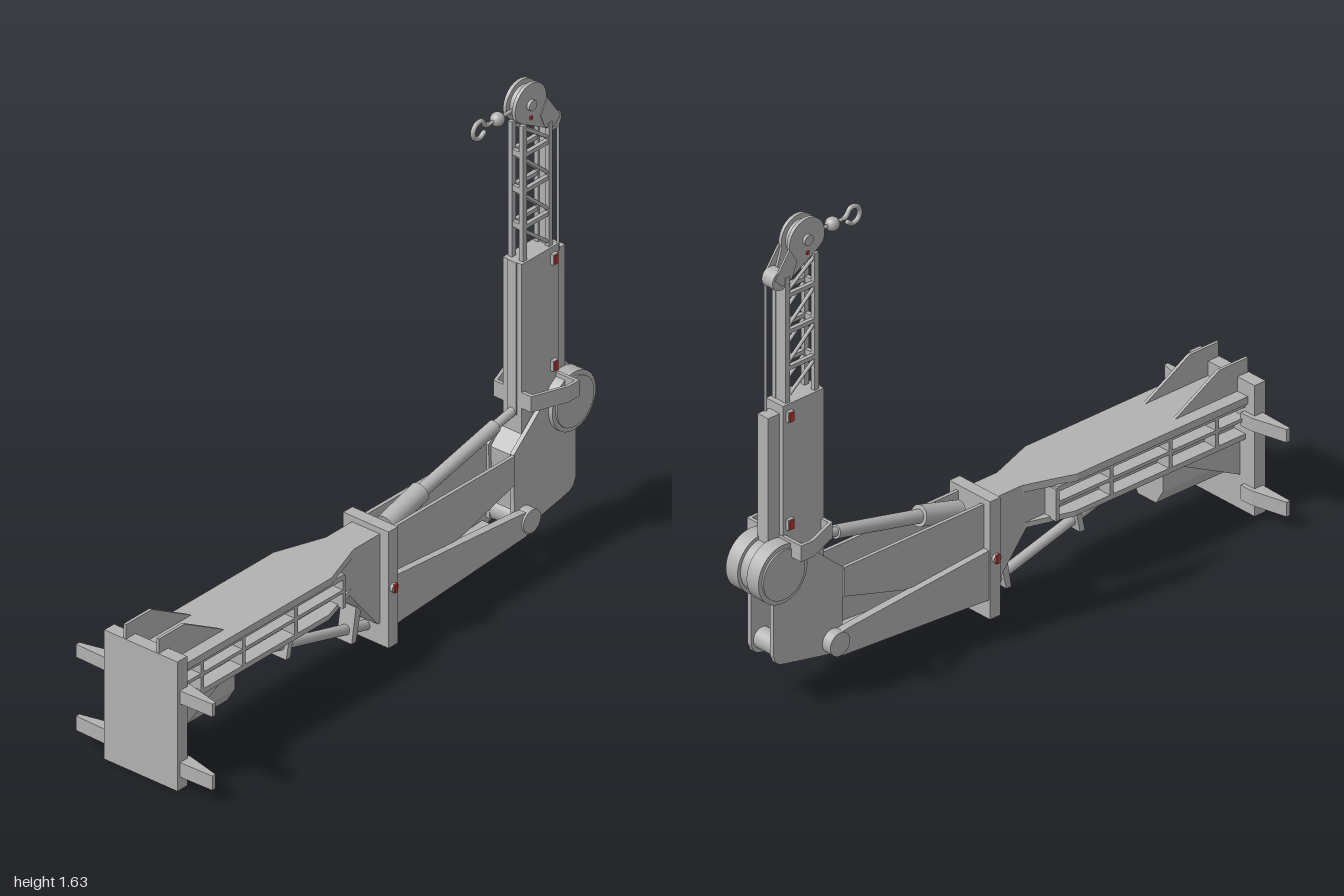
import * as THREE from 'three';

export function createModel() {
  const root = new THREE.Group();
  const steel = new THREE.MeshStandardMaterial({ color: 0xb2b2b2 });
  steel.name = 'steel grey';
  const red = new THREE.MeshStandardMaterial({ color: 0xc8322d });
  red.name = 'marker red';

  function add(name, geo, mat = steel) {
    const m = new THREE.Mesh(geo, mat);
    m.name = name;
    root.add(m);
    return m;
  }
  // Box given by its limits on each axis
  function box(name, x0, x1, y0, y1, z0, z1, mat) {
    const g = new THREE.BoxGeometry(x1 - x0, y1 - y0, z1 - z0);
    g.translate((x0 + x1) / 2, (y0 + y1) / 2, (z0 + z1) / 2);
    return add(name, g, mat);
  }
  // Side profile [z, y] extruded from x0 to x1
  function side(name, pts, x0, x1) {
    const s = new THREE.Shape(pts.map(([z, y]) => new THREE.Vector2(-z, y)));
    const g = new THREE.ExtrudeGeometry(s, { depth: x1 - x0, bevelEnabled: false });
    g.rotateY(Math.PI / 2).translate(x0, 0, 0);
    return add(name, g);
  }
  // The same profile on the left and the right
  function sides(name, pts, x0, x1) {
    side(name, pts, x0, x1);
    side(name, pts, -x1, -x0);
  }
  // Plan outline [x, z] extruded from y0 to y1
  function plan(name, pts, y0, y1) {
    const s = new THREE.Shape(pts.map(([x, z]) => new THREE.Vector2(x, -z)));
    const g = new THREE.ExtrudeGeometry(s, { depth: y1 - y0, bevelEnabled: false });
    g.rotateX(-Math.PI / 2).translate(0, y0, 0);
    return add(name, g);
  }
  // Round bar between two points
  function rod(name, a, b, r, seg = 16) {
    const A = new THREE.Vector3(...a), B = new THREE.Vector3(...b), d = B.clone().sub(A);
    const m = add(name, new THREE.CylinderGeometry(r, r, d.length(), seg));
    m.position.copy(A).add(B).multiplyScalar(0.5);
    m.quaternion.setFromUnitVectors(new THREE.Vector3(0, 1, 0), d.normalize());
    return m;
  }
  const axle = (name, x0, x1, y, z, r, seg = 32) => rod(name, [x0, y, z], [x1, y, z], r, seg);

  // Mounting plate with clamping wings
  box('mountingPlate', -0.145, 0.145, 0, 0.45, 0.955, 1);
  for (const s of [-1, 1])
    for (const [y0, y1] of [[0.045, 0.095], [0.3, 0.345]])
      plan('clampWing', [[s * 0.1, 0.99], [s * 0.27, 0.985], [s * 0.27, 0.97], [s * 0.145, 0.94], [s * 0.1, 0.94]], y0, y1);
  sides('topGusset', [[0.998, 0.4], [0.998, 0.5], [0.88, 0.5], [0.7, 0.4]], 0.06, 0.07);
  sides('lowerGusset', [[0.96, 0.25], [0.71, 0.25], [0.71, 0.24], [0.96, 0.115]], 0.07, 0.08);

  // Front beam: tapered top plate, box web and side channels
  plan('beamTopPlate', [[-0.115, 0.955], [-0.115, 0.26], [-0.055, 0.09], [-0.055, -0.04],
    [0.055, -0.04], [0.055, 0.09], [0.115, 0.26], [0.115, 0.955]], 0.375, 0.4);
  side('beamWeb', [[0.96, 0.38], [0.96, 0.25], [0.11, 0.25], [-0.02, 0.09], [-0.05, 0.09], [-0.05, 0.38]], -0.055, 0.055);
  for (const s of [-1, 1]) {
    const lo = s > 0 ? 0.05 : -0.105, hi = lo + 0.055;
    plan('lowerFlange', [[s * 0.05, 0.96], [s * 0.105, 0.96], [s * 0.105, 0.26], [s * 0.055, 0.1], [s * 0.05, 0.1]], 0.25, 0.268);
    box('middleRail', lo, hi, 0.314, 0.326, 0.19, 0.955);
    box('upperRail', lo, hi, 0.36, 0.378, 0.19, 0.955);
    for (const z of [0.84, 0.65, 0.41, 0.19])
      box('stiffener', lo, hi, 0.26, 0.37, z - 0.007, z + 0.007);
  }

  // Underside housing, tie tube and its hangers
  const housing = new THREE.Shape([[-0.07, 0.25], [-0.07, 0.17], [-0.04, 0.12], [0.04, 0.12], [0.07, 0.17], [0.07, 0.25]]
    .map(p => new THREE.Vector2(...p)));
  add('undersideHousing', new THREE.ExtrudeGeometry(housing, { depth: 0.305, bevelEnabled: false }).translate(0, 0, 0.65));
  rod('tieTube', [0, 0.24, 0.63], [0, 0.06, -0.04], 0.017);
  side('tieHanger', [[0.345, 0.25], [0.325, 0.25], [0.35, 0.13], [0.37, 0.13]], -0.03, 0.03);
  side('tieHanger', [[0.05, 0.17], [0.025, 0.16], [0.05, 0.05], [0.07, 0.05]], -0.03, 0.03);

  // Collar joining front beam and rear arm
  box('collar', -0.09, 0.09, 0.015, 0.42, -0.072, -0.03);
  for (const s of [-1, 1]) {
    axle('collarPin', s * 0.08, s * 0.1, 0.22, -0.05, 0.015, 16);
    box('collarMarker', s * 0.1 - 0.004, s * 0.1 + 0.004, 0.205, 0.235, -0.057, -0.043, red);
  }

  // Rear arm: open channel with deep outer side plates
  sides('armUpperPlate', [[-0.07, 0.4], [-0.07, 0.2], [-0.4, 0.23], [-0.64, 0.3], [-0.64, 0.4]], 0.05, 0.062);
  sides('armLowerPlate', [[-0.07, 0.25], [-0.07, 0.08], [-0.66, 0.117], [-0.7, 0.13], [-0.715, 0.165], [-0.7, 0.195], [-0.635, 0.205]], 0.058, 0.085);
  side('armFloor', [[-0.07, 0.1], [-0.07, 0.08], [-0.63, 0.115], [-0.63, 0.135]], -0.06, 0.06);
  axle('kneePin', -0.092, 0.092, 0.165, -0.685, 0.04);

  // Lifting cylinder
  rod('liftBarrel', [0, 0.37, -0.12], [0, 0.415, -0.28], 0.034, 24);
  rod('liftSleeve', [0, 0.395, -0.2], [0, 0.49, -0.62], 0.022, 24);
  rod('liftRod', [0, 0.488, -0.61], [0, 0.51, -0.72], 0.015);

  // Knuckle at the foot of the mast
  const knuckle = [[-0.64, 0.4], [-0.71, 0.46], [-0.8, 0.54], [-0.87, 0.54], [-0.925, 0.42], [-0.925, 0.2],
    [-0.915, 0.175], [-0.9, 0.163], [-0.875, 0.157], [-0.68, 0.118], [-0.645, 0.14]];
  sides('knuckleCheek', knuckle, 0.042, 0.057);
  side('knuckleCore', [[-0.65, 0.39], [-0.71, 0.45], [-0.84, 0.53], [-0.84, 0.19], [-0.66, 0.15]], -0.043, 0.043);
  axle('knuckleRoller', -0.043, 0.043, 0.21, -0.88, 0.035);

  // Winch drum with rims
  axle('winchDrum', -0.07, 0.07, 0.48, -0.9, 0.088, 40);
  for (const s of [-1, 1]) {
    axle('drumRim', s * 0.02, s * 0.072, 0.48, -0.9, 0.1, 40);
    axle('drumCap', s * 0.07, s * 0.078, 0.48, -0.9, 0.085, 40);
  }

  // Guard frame around the mast
  box('guardBack', -0.12, 0.12, 0.53, 0.585, -0.87, -0.858);
  for (const s of [-1, 1])
    plan('guardSide', [[s * 0.12, -0.865], [s * 0.12, -0.82], [s * 0.075, -0.7], [s * 0.035, -0.7],
      [s * 0.035, -0.712], [s * 0.068, -0.712], [s * 0.109, -0.822], [s * 0.109, -0.865]], 0.53, 0.585);

  // Lower mast, rear rail and side pins
  box('lowerMast', -0.037, 0.037, 0.4, 1.03, -0.868, -0.7);
  box('mastFrontRib', -0.018, 0.018, 0.5, 1.03, -0.703, -0.697);
  box('rearRail', -0.023, 0.023, 0.38, 1, -0.915, -0.865);
  for (const s of [-1, 1])
    for (const y of [0.62, 0.99]) {
      const x = s * 0.041;
      box('mastPin', x - 0.008, x + 0.008, y - 0.018, y + 0.018, -0.855, -0.832);
      box('mastMarker', s * 0.05 - 0.003, s * 0.05 + 0.003, y - 0.015, y + 0.015, -0.851, -0.836, red);
    }

  // Upper lattice mast
  const levels = [1.03, 1.145, 1.27, 1.395, 1.5];
  for (const s of [-1, 1]) {
    const x = s * 0.022;
    box('latticePost', x - 0.008, x + 0.008, 1.02, 1.5, -0.732, -0.715);
    box('latticePost', x - 0.008, x + 0.008, 1.02, 1.46, -0.85, -0.833);
    for (let i = 0; i < 4; i++) {
      rod('latticeBrace', [x, levels[i + 1] - 0.012, -0.725], [x, levels[i] + 0.01, -0.842], 0.006, 8);
      if (i) box('latticeRung', x - 0.007, x + 0.007, levels[i] - 0.007, levels[i] + 0.007, -0.845, -0.72);
    }
  }
  for (const y of levels.slice(1, 4)) box('frontRung', -0.022, 0.022, y - 0.01, y + 0.01, -0.73, -0.717);
  box('latticeBackPlate', -0.022, 0.022, 1.03, 1.46, -0.848, -0.84);

  // Mast head: rounded cheeks, sheave and guide pulley
  const head = [[-0.712, 1.51], [-0.835, 1.44], [-0.852, 1.46]];
  for (let i = 0; i <= 20; i++) {
    const a = Math.PI * (1.08 - i / 20 * 1.22);
    head.push([-0.757 + 0.072 * Math.cos(a), 1.557 + 0.072 * Math.sin(a)]);
  }
  sides('headCheek', head, 0.012, 0.024);
  axle('headSheave', -0.012, 0.012, 1.557, -0.757, 0.055);
  axle('headAxle', -0.034, 0.034, 1.557, -0.757, 0.018, 20);
  for (const s of [-1, 1])
    box('headMarker', s * 0.026 - 0.003, s * 0.026 + 0.003, 1.507, 1.517, -0.762, -0.752, red);
  axle('guidePulley', -0.024, 0.024, 1.455, -0.865, 0.033, 24);
  sides('pulleyArm', [[-0.8, 1.5], [-0.83, 1.55], [-0.89, 1.465], [-0.86, 1.435], [-0.82, 1.45]], 0.02, 0.027);

  // Hoist cable and hook
  rod('hoistCable', [0.02, 1.44, -0.886], [0.02, 0.99, -0.886], 0.005, 8);
  rod('hookShank', [0, 1.553, -0.7], [0, 1.553, -0.58], 0.006, 12);
  add('hookBall', new THREE.SphereGeometry(0.023, 24, 16)).position.set(0, 1.553, -0.632);
  const curve = new THREE.CatmullRomCurve3([[-0.59, 1.553], [-0.578, 1.556], [-0.557, 1.58], [-0.532, 1.575], [-0.52, 1.553],
    [-0.53, 1.53], [-0.552, 1.524], [-0.57, 1.535]].map(([z, y]) => new THREE.Vector3(0, y, z)));
  add('hook', new THREE.TubeGeometry(curve, 40, 0.008, 10));
  add('hookTip', new THREE.SphereGeometry(0.008, 10, 8)).position.set(0, 1.535, -0.57);

  return root;
}
